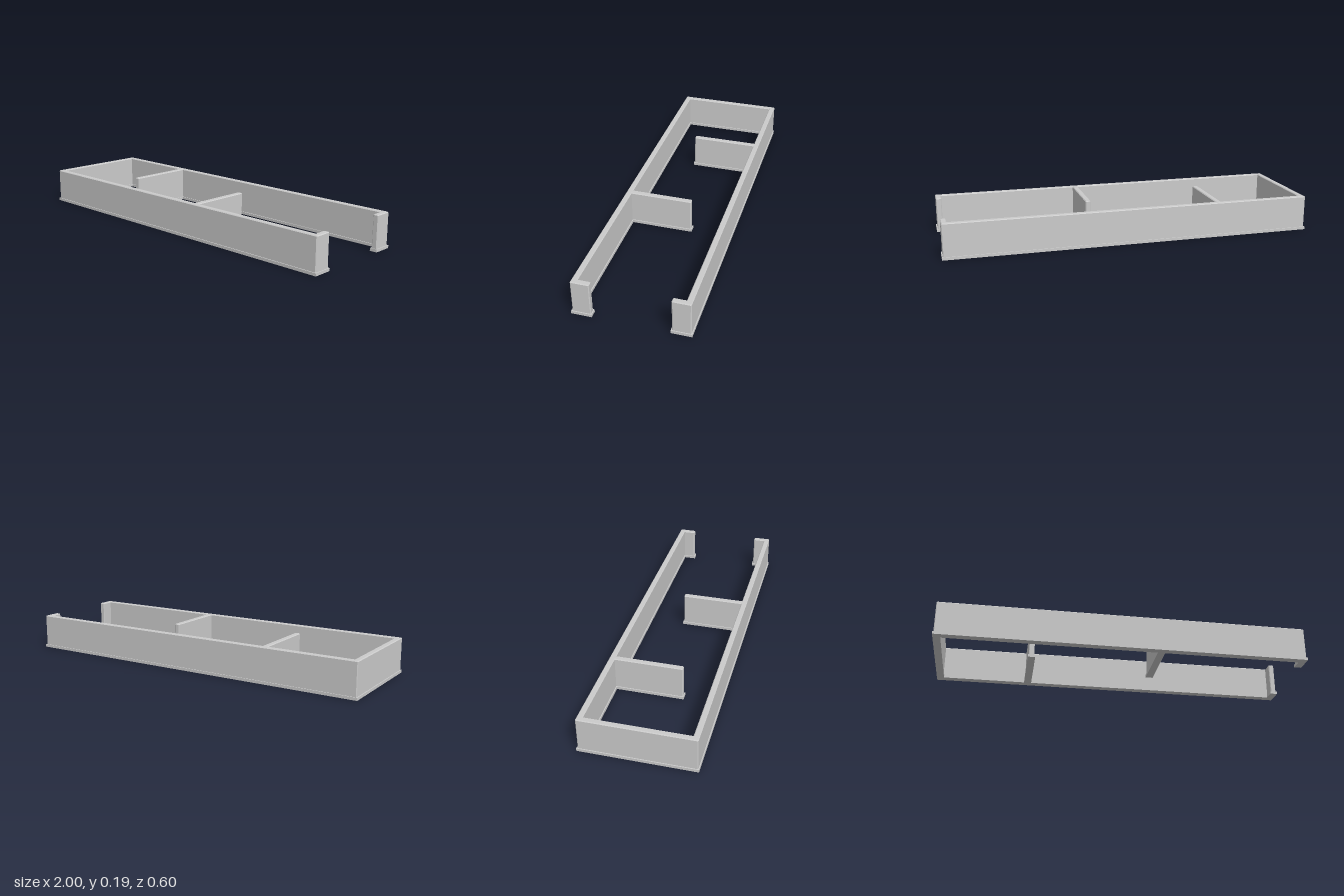
import * as THREE from 'three';

// Floor plan of the walls as one closed loop, counter-clockwise (x, -z)
const PLAN = [
  [-1, -0.3], [1, -0.3], [1, -0.195], [0.96, -0.195], [0.96, -0.26],
  [0.215, -0.26], [0.215, 0.075], [0.175, 0.075], [0.175, -0.26],
  [-0.96, -0.26], [-0.96, 0.26],
  [-0.505, 0.26], [-0.505, -0.1], [-0.465, -0.1], [-0.465, 0.26],
  [0.96, 0.26], [0.96, 0.195], [1, 0.195], [1, 0.3], [-1, 0.3],
].map(([x, y]) => new THREE.Vector2(x, y));

// Plan moved inward by inset, with its outward corners cut by chamfer
function planShape(inset, chamfer) {
  const points = [];
  PLAN.forEach((p, i) => {
    const before = PLAN[(i + PLAN.length - 1) % PLAN.length];
    const after = PLAN[(i + 1) % PLAN.length];
    const a = p.clone().sub(before).normalize();
    const b = after.clone().sub(p).normalize();
    const corner = new THREE.Vector2(p.x - (a.y + b.y) * inset, p.y + (a.x + b.x) * inset);
    if (chamfer > 0 && a.cross(b) > 0) {
      points.push(corner.clone().addScaledVector(a, -chamfer), corner.clone().addScaledVector(b, chamfer));
    } else points.push(corner);
  });
  return new THREE.Shape(points);
}

// Extrude a plan upward from height y
function raise(name, shape, y, options) {
  const geometry = new THREE.ExtrudeGeometry(shape, options);
  geometry.rotateX(-Math.PI / 2).translate(0, y, 0);
  const mesh = new THREE.Mesh(geometry, new THREE.MeshStandardMaterial({ color: 0xcccccc }));
  mesh.name = name;
  return mesh;
}

export function createModel() {
  const group = new THREE.Group();
  group.name = 'floorPlanWalls';

  // Low plinth, slightly wider than the walls
  group.add(raise('plinth', planShape(0, 0), 0, { depth: 0.015, bevelEnabled: false }));

  // Walls with a bevelled top edge; the lower bevel is sunk in the plinth
  const bevel = 0.004;
  group.add(raise('walls', planShape(0.005, 0.004), 0.01, {
    depth: 0.19 - bevel - 0.01,
    bevelEnabled: true, bevelSegments: 1,
    bevelThickness: bevel, bevelSize: bevel, bevelOffset: -bevel,
  }));

  return group;
}
